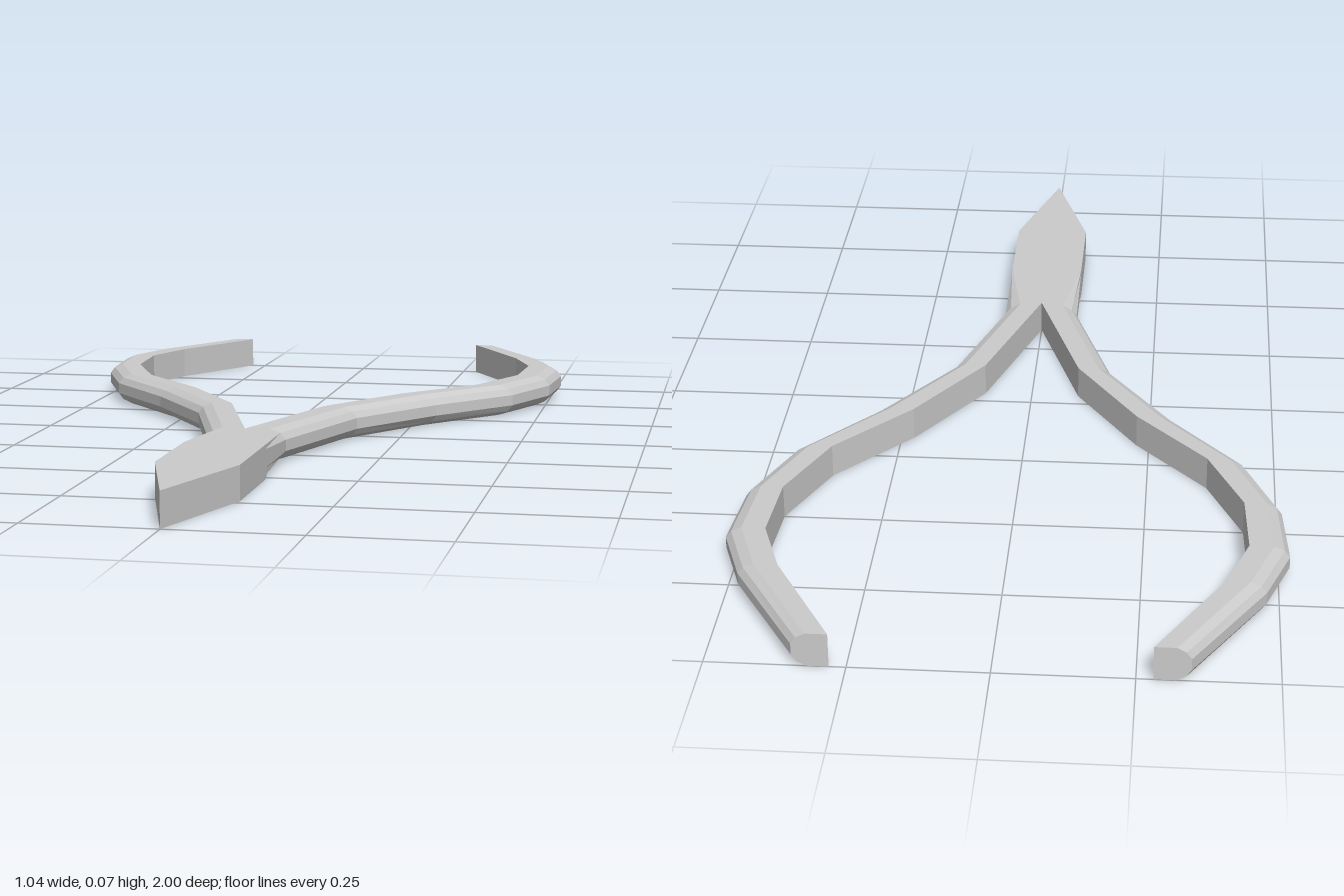
import * as THREE from 'three';

const HEIGHT = 0.066;

// stations of one half from back to front: [z outer, outer x, z inner, inner x, rounding]
const HANDLE = [
  [-1, 0.345, -1, 0.28, 1],
  [-0.78, 0.476, -0.78, 0.402, 1],
  [-0.655, 0.52, -0.655, 0.445, 1],
  [-0.5, 0.508, -0.5, 0.437, 1],
  [-0.34, 0.444, -0.335, 0.367, 1],
  [-0.165, 0.302, -0.17, 0.225, 1],
  [0.04, 0.167, 0.035, 0.097, 1],
  [0.33, 0.078, 0.345, 0, 1],
  [0.52, 0.078, 0.52, 0, 0],
];
const JAW = [
  [0.52, 0.078, 0.52, 0, 0],
  [0.735, 0.078, 0.735, 0, 0],
  [1, 0, 1, 0, 0],
];

// D-shaped section, flat inside and rounded outside: [inset from outer edge, height]
const ROUND = [[0.4, 0], [0.14, 0.13], [0, 0.33], [0, 0.67], [0.14, 0.87], [0.4, 1]];

function section([zo, xo, zi, xi, round]) {
  const at = (inset, h) => [
    THREE.MathUtils.lerp(xo, xi, inset), h * HEIGHT, THREE.MathUtils.lerp(zo, zi, inset),
  ];
  return [at(1, 0), ...ROUND.map(([inset, h]) => at(inset * round, h)), at(1, 1)];
}

// joins the sections; side = 1 for left, -1 for the mirrored right half
function loft(stations, side, capBack) {
  const rows = stations.map(section);
  const n = rows[0].length;
  const positions = [];
  const tri = (a, b, c) => {
    for (const p of side > 0 ? [a, b, c] : [a, c, b]) positions.push(p[0] * side, p[1], p[2]);
  };
  for (let i = 0; i < rows.length - 1; i++) {
    for (let j = 0; j < n; j++) {
      const k = (j + 1) % n;
      tri(rows[i][j], rows[i][k], rows[i + 1][k]);
      tri(rows[i][j], rows[i + 1][k], rows[i + 1][j]);
    }
  }
  if (capBack) for (let j = 1; j < n - 1; j++) tri(rows[0][0], rows[0][j + 1], rows[0][j]);
  const geometry = new THREE.BufferGeometry();
  geometry.setAttribute('position', new THREE.Float32BufferAttribute(positions, 3));
  geometry.computeVertexNormals();
  return geometry;
}

export function createModel() {
  const group = new THREE.Group();
  group.name = 'pliers';
  const material = new THREE.MeshStandardMaterial({ color: 0xcccccc, flatShading: true });
  for (const side of [1, -1]) {
    const label = side > 0 ? 'left' : 'right';
    // curved handle blending into the square jaw
    const handle = new THREE.Mesh(loft(HANDLE, side, true), material);
    handle.name = label + 'Handle';
    // straight jaw tapering to a point
    const jaw = new THREE.Mesh(loft(JAW, side, false), material);
    jaw.name = label + 'Jaw';
    group.add(handle, jaw);
  }
  return group;
}
